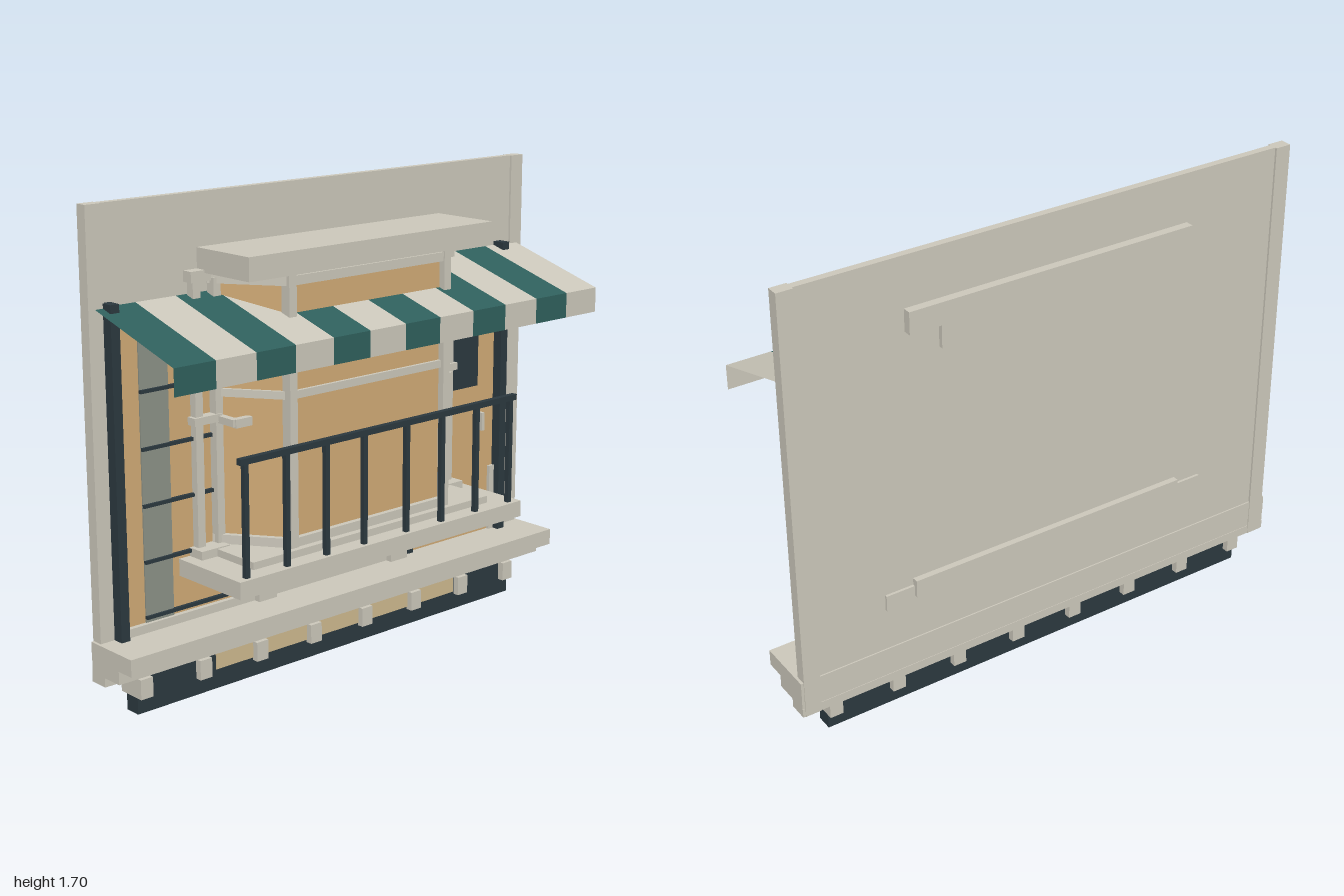
import * as THREE from 'three';

const mat = (name, color, side = THREE.FrontSide) => {
  const m = new THREE.MeshStandardMaterial({ color, side });
  m.name = name;
  return m;
};

export function createModel() {
  const root = new THREE.Group();
  root.name = 'shopfront';
  const stone = mat('stone', 0xcbc7ba);
  const tan = mat('warmPanel', 0xd0aa75);
  const dark = mat('darkMetal', 0x2b383f);
  const teal = mat('tealPanel', 0x2f5f5c);
  const grey = mat('greyGlass', 0x8c9186);
  const sand = mat('sand', 0xcdb88e);
  const clothGreen = mat('greenCloth', 0x2f5f5c, THREE.DoubleSide);
  const clothCream = mat('creamCloth', 0xcbc7ba, THREE.DoubleSide);

  const add = (name, geo, m, parent = root) => {
    const mesh = new THREE.Mesh(geo, m);
    mesh.name = name;
    parent.add(mesh);
    return mesh;
  };
  // Box given by its limits on each axis
  const box = (name, m, x0, x1, y0, y1, z0, z1) => {
    const mesh = add(name, new THREE.BoxGeometry(x1 - x0, y1 - y0, z1 - z0), m);
    mesh.position.set((x0 + x1) / 2, (y0 + y1) / 2, (z0 + z1) / 2);
    return mesh;
  };
  // Upright bar running between two plan points
  const bar = (name, m, a, b, y0, y1, t) => {
    const dx = b[0] - a[0], dz = b[1] - a[1];
    const mesh = add(name, new THREE.BoxGeometry(Math.hypot(dx, dz) + t * 0.5, y1 - y0, t), m);
    mesh.position.set((a[0] + b[0]) / 2, (y0 + y1) / 2, (a[1] + b[1]) / 2);
    mesh.rotation.y = -Math.atan2(dz, dx);
  };

  // Wall and edge pilasters
  box('wall', stone, -0.94, 0.94, 0.12, 1.7, -0.205, -0.178);
  for (const s of [-1, 1]) {
    const x = s * 0.96;
    box('pilaster', stone, x - 0.03, x + 0.03, 0.12, 1.7, -0.213, -0.17);
  }

  // Stepped sill, plinth and corbels
  box('sill', stone, -1, 1, 0.2, 0.26, -0.21, 0.01);
  box('sillStep', stone, -1, 1, 0.153, 0.2, -0.209, -0.06);
  box('sillBase', stone, -1, 1, 0.12, 0.153, -0.211, -0.14);
  box('plinth', dark, -0.89, 0.89, 0, 0.155, -0.175, -0.115);
  box('plinthInlay', sand, -0.56, 0.59, 0.07, 0.153, -0.116, -0.112);
  for (let i = 0; i < 8; i++) {
    const x = -0.868 + i * 0.248;
    box('corbel', stone, x - 0.025, x + 0.025, 0.06, 0.13, -0.2, -0.09);
  }

  // Warm panel face with its fittings
  box('shopFace', tan, -0.92, 0.87, 0.26, 1.36, -0.18, -0.168);
  box('bottomRail', stone, -0.9, 0.36, 0.26, 0.29, -0.17, -0.15);
  box('tealPanel', teal, -0.265, 0.265, 0.29, 0.42, -0.17, -0.15);
  for (const s of [-1, 1]) {
    const x = s * 0.315;
    box('ledgeSupport', stone, x - 0.04, x + 0.04, 0.26, 0.42, -0.17, -0.125);
  }
  box('greyPane', grey, -0.81, -0.695, 0.29, 1.34, -0.17, -0.163);
  for (let i = 0; i < 5; i++) {
    const y = 0.308 + i * 0.193;
    box('shelf', dark, -0.81, 0.43, y - 0.006, y + 0.006, -0.17, -0.155);
  }
  box('doorPost', dark, 0.385, 0.412, 0.26, 0.43, -0.17, -0.15);
  box('doorGlass', dark, 0.59, 0.76, 0.845, 1.3, -0.17, -0.163);
  box('doorHandle', stone, 0.763, 0.777, 0.67, 0.74, -0.17, -0.14);
  box('doorStop', stone, 0.825, 0.85, 0.26, 0.515, -0.17, -0.155);
  for (const x of [-0.918, 0.867]) {
    box('ironColumn', dark, x - 0.017, x + 0.017, 0.25, 1.385, -0.18, -0.13);
  }

  // Bay window ledge, roof and wall lintel
  box('ledge', stone, -0.665, 0.665, 0.42, 0.48, -0.215, 0.157);
  box('bayFoot', stone, -0.555, 0.555, 0.44, 0.506, -0.228, 0.09);
  box('bayRoof', stone, -0.555, 0.555, 1.44, 1.52, -0.236, 0.09);
  box('lintel', stone, -0.43, 0.43, 1.35, 1.44, -0.222, -0.17);

  // Bay body with canted sides
  const plan = [[-0.505, -0.165], [-0.355, 0.045], [0.355, 0.045], [0.505, -0.165]];
  const shape = new THREE.Shape(plan.map(([x, z]) => new THREE.Vector2(x, -z)));
  const body = new THREE.ExtrudeGeometry(shape, { depth: 0.935, bevelEnabled: false });
  body.rotateX(-Math.PI / 2);
  add('bayPane', body, tan).position.y = 0.505;
  for (let i = 0; i < 3; i++) {
    bar('bayBottomRail', stone, plan[i], plan[i + 1], 0.505, 0.538, 0.04);
    bar('bayMiddleRail', stone, plan[i], plan[i + 1], 1.018, 1.045, 0.025);
    bar('bayTopRail', stone, plan[i], plan[i + 1], 1.4, 1.432, 0.04);
  }
  for (const s of [-1, 1]) {
    const p = (name, a, b, y0, y1, z0, z1) =>
      box(name, stone, Math.min(s * a, s * b), Math.max(s * a, s * b), y0, y1, z0, z1);
    p('bayFrontPost', 0.34, 0.372, 0.505, 1.44, 0.03, 0.07);
    p('bayBackPost', 0.492, 0.522, 0.48, 1.42, -0.17, -0.135);
    // Side jamb with foot, cap and bracket arm
    p('jamb', 0.572, 0.603, 0.48, 1.42, -0.17, -0.14);
    p('jambFoot', 0.5, 0.62, 0.48, 0.51, -0.17, -0.1);
    p('jambCap', 0.53, 0.612, 1.413, 1.45, -0.2, -0.137);
    p('jambRail', 0.5, 0.615, 0.935, 0.962, -0.17, -0.13);
    p('bracketArm', 0.49, 0.515, 0.93, 0.955, -0.14, -0.055);
    p('bracketTip', 0.435, 0.505, 0.925, 0.955, -0.075, -0.05);
  }

  // Balcony railing
  box('handrail', dark, -0.645, 0.645, 0.865, 0.886, 0.122, 0.144);
  for (const s of [-1, 1]) {
    for (const x of [0.1, 0.272, 0.446, 0.62]) {
      box('railingPost', dark, s * x - 0.009, s * x + 0.009, 0.48, 0.87, 0.124, 0.142);
    }
  }

  // Striped awning: sloping cloth and hanging valance
  const awning = new THREE.Group();
  awning.name = 'awning';
  root.add(awning);
  const w = 1.93 / 12, drop = 0.127, reach = 0.428;
  for (let i = 0; i < 12; i++) {
    const m = i % 2 ? clothCream : clothGreen;
    const x = -0.965 + (i + 0.5) * w;
    const slope = new THREE.PlaneGeometry(w, Math.hypot(drop, reach));
    slope.rotateX(-Math.atan2(reach, drop));
    add('awningStripe', slope, m, awning).position.set(x, 1.25 + drop / 2, 0.23 - reach / 2);
    add('valanceStripe', new THREE.PlaneGeometry(w, 0.09), m, awning).position.set(x, 1.205, 0.23);
  }
  return root;
}
